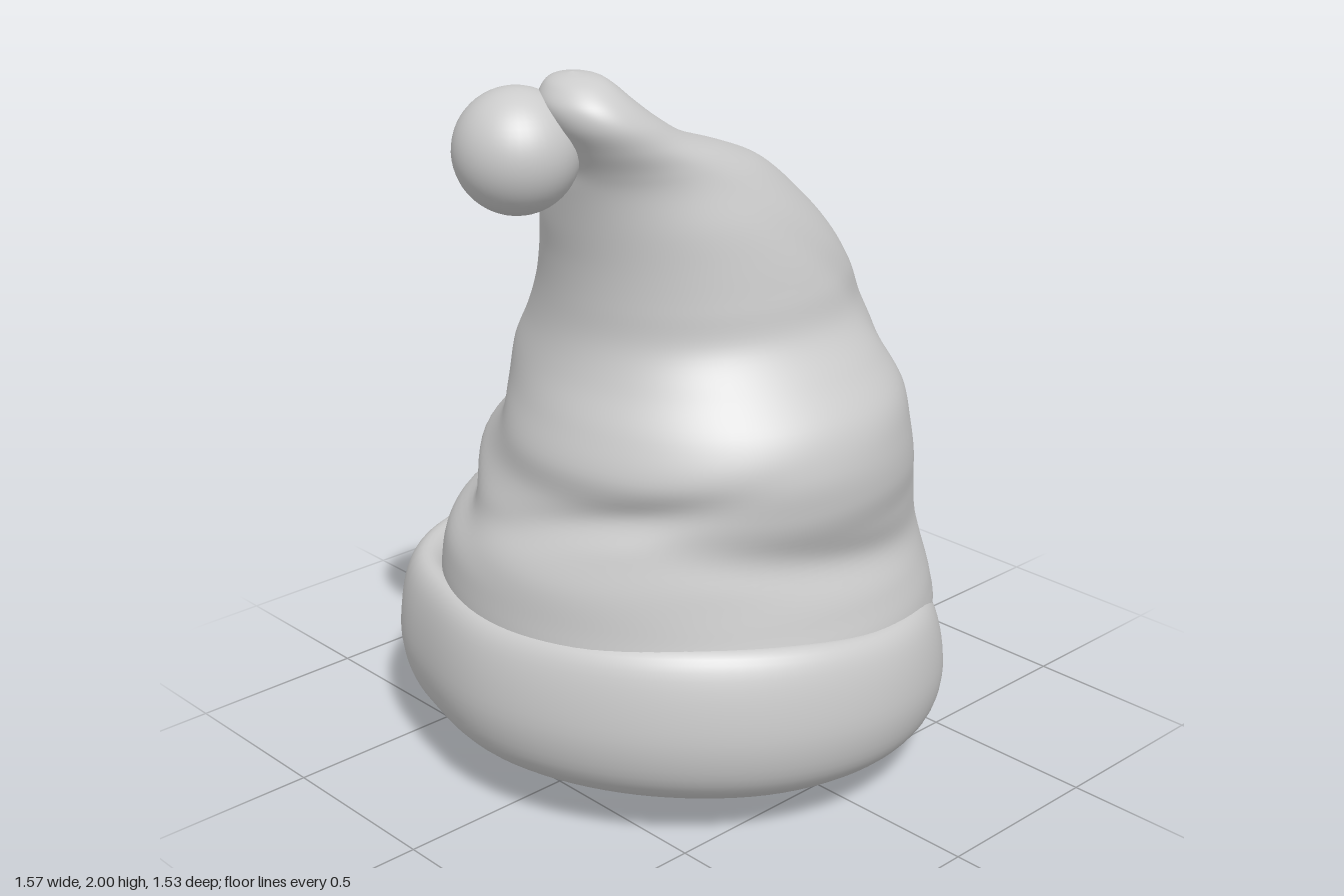
import * as THREE from 'three';

const material = new THREE.MeshStandardMaterial({ color: 0xcccccc, side: THREE.DoubleSide });

// Smooth skin over rings of points; point(u, angle) gives each vertex
function loft(name, rows, cols, point, closed = false) {
  const pos = [], index = [];
  for (let i = 0; i < rows; i++) {
    for (let j = 0; j < cols; j++) {
      pos.push(...point(closed ? i / rows : i / (rows - 1), (j / cols) * Math.PI * 2));
    }
  }
  for (let i = 0; i < (closed ? rows : rows - 1); i++) {
    for (let j = 0; j < cols; j++) {
      const a = i * cols + j, b = i * cols + (j + 1) % cols;
      const up = ((i + 1) % rows) * cols;
      const c = up + j, d = up + (j + 1) % cols;
      index.push(a, c, b, b, c, d);
    }
  }
  const g = new THREE.BufferGeometry();
  g.setAttribute('position', new THREE.Float32BufferAttribute(pos, 3));
  g.setIndex(index);
  g.computeVertexNormals();
  const mesh = new THREE.Mesh(g, material);
  mesh.name = name;
  return mesh;
}

// Sagging cloth cone: y, then the x and z extents of each section
const sections = [
  [0.25, -0.62, 0.62, -0.6, 0.62],
  [0.4, -0.69, 0.67, -0.65, 0.68],
  [0.5, -0.71, 0.65, -0.665, 0.69],
  [0.6, -0.705, 0.63, -0.655, 0.665],
  [0.7, -0.69, 0.605, -0.61, 0.64],
  [0.8, -0.64, 0.57, -0.54, 0.64],
  [0.9, -0.595, 0.53, -0.53, 0.66],
  [1.0, -0.59, 0.495, -0.47, 0.66],
  [1.1, -0.555, 0.48, -0.445, 0.63],
  [1.2, -0.515, 0.46, -0.44, 0.555],
  [1.3, -0.49, 0.425, -0.38, 0.48],
  [1.4, -0.485, 0.38, -0.325, 0.455],
  [1.5, -0.49, 0.31, -0.28, 0.43],
  [1.6, -0.505, 0.21, -0.23, 0.4],
  [1.7, -0.52, 0.08, -0.13, 0.36],
  [1.76, -0.53, -0.06, -0.03, 0.34],
  [1.82, -0.56, -0.23, 0.03, 0.325],
  [1.88, -0.6, -0.33, 0.04, 0.31],
  [1.93, -0.612, -0.39, 0.035, 0.28],
  [1.97, -0.59, -0.43, 0.05, 0.235],
  [1.99, -0.56, -0.46, 0.075, 0.19],
  [2.0, -0.52, -0.518, 0.13, 0.132],
];
const spline = (a, b) => new THREE.CatmullRomCurve3(
  sections.map((s) => new THREE.Vector3(s[a], s[0], s[b])), false, 'catmullrom');
const xSpan = spline(1, 2), zSpan = spline(3, 4);

// Soft folds in the cloth: angle in degrees, height, spread, rise per radian, depth
const folds = [
  [235, 0.78, 0.05, 0.1, -0.03],
  [245, 0.92, 0.05, 0.12, 0.02],
  [250, 1.08, 0.06, 0.14, -0.025],
  [165, 0.86, 0.05, -0.15, -0.02],
  [95, 0.74, 0.06, 0.12, -0.025],
  [35, 1.15, 0.1, 0.5, -0.015],
];
function foldDepth(y, a) {
  let sum = 0;
  for (const [deg, height, spread, rise, depth] of folds) {
    let da = a - THREE.MathUtils.degToRad(deg);
    da = Math.atan2(Math.sin(da), Math.cos(da));
    const dy = (y - height - rise * da) / spread;
    sum += depth * Math.exp(-dy * dy - (da / 0.6) ** 2);
  }
  return sum;
}

function conePoint(u, a) {
  const xs = xSpan.getPoint(u), zs = zSpan.getPoint(u);
  const f = foldDepth(xs.y, a);
  return [
    (xs.x + xs.z) / 2 + ((xs.z - xs.x) / 2 + f) * Math.cos(a),
    xs.y,
    (zs.x + zs.z) / 2 + ((zs.z - zs.x) / 2 + f) * Math.sin(a),
  ];
}

// Brim values at 16 even angles from +x towards +z
const brimRadius = [0.775, 0.705, 0.7, 0.735, 0.76, 0.765, 0.765, 0.765,
  0.775, 0.78, 0.825, 0.81, 0.76, 0.768, 0.765, 0.79];
const brimTop = [0.41, 0.415, 0.45, 0.5, 0.53, 0.565, 0.58, 0.57,
  0.555, 0.55, 0.54, 0.53, 0.525, 0.52, 0.49, 0.44];
const brimBottom = [0.0, 0.005, 0.03, 0.07, 0.09, 0.1, 0.11, 0.11,
  0.105, 0.09, 0.07, 0.06, 0.05, 0.05, 0.04, 0.015];

// Smooth periodic lookup in one of the lists above
function around(list, a) {
  const n = list.length, t = (a / (Math.PI * 2)) * n, i = Math.floor(t), f = t - i;
  const [p, q, r, s] = [-1, 0, 1, 2].map((k) => list[(i + k + n) % n]);
  return q + 0.5 * f * (r - p + f * (2 * p - 5 * q + 4 * r - s + f * (3 * (q - r) + s - p)));
}

// Rolled brim profile: inset from the outer radius, height from 0 to 1
const brimProfile = new THREE.CatmullRomCurve3([
  [0.18, 0], [0.1, 0.06], [0.03, 0.22], [0, 0.45], [0.005, 0.7], [0.03, 0.91], [0.07, 1],
  [0.12, 0.96], [0.17, 0.75], [0.22, 0.45], [0.245, 0.2], [0.23, 0.05],
].map(([inset, h]) => new THREE.Vector3(inset, h, 0)), true, 'catmullrom');

function brimPoint(u, a) {
  const p = brimProfile.getPoint(u);
  const r = around(brimRadius, a) - p.x;
  const low = around(brimBottom, a), high = around(brimTop, a);
  return [r * Math.cos(a), Math.max(0, low + (high - low) * p.y), r * Math.sin(a)];
}

export function createModel() {
  const hat = new THREE.Group();
  hat.name = 'floppyHat';
  hat.add(loft('clothCone', 127, 96, conePoint));
  hat.add(loft('rolledBrim', 48, 96, brimPoint, true));

  const pompom = new THREE.Mesh(new THREE.SphereGeometry(0.157, 40, 28), material);
  pompom.name = 'pompom';
  pompom.position.set(-0.63, 1.81, 0.05);
  hat.add(pompom);
  return hat;
}
